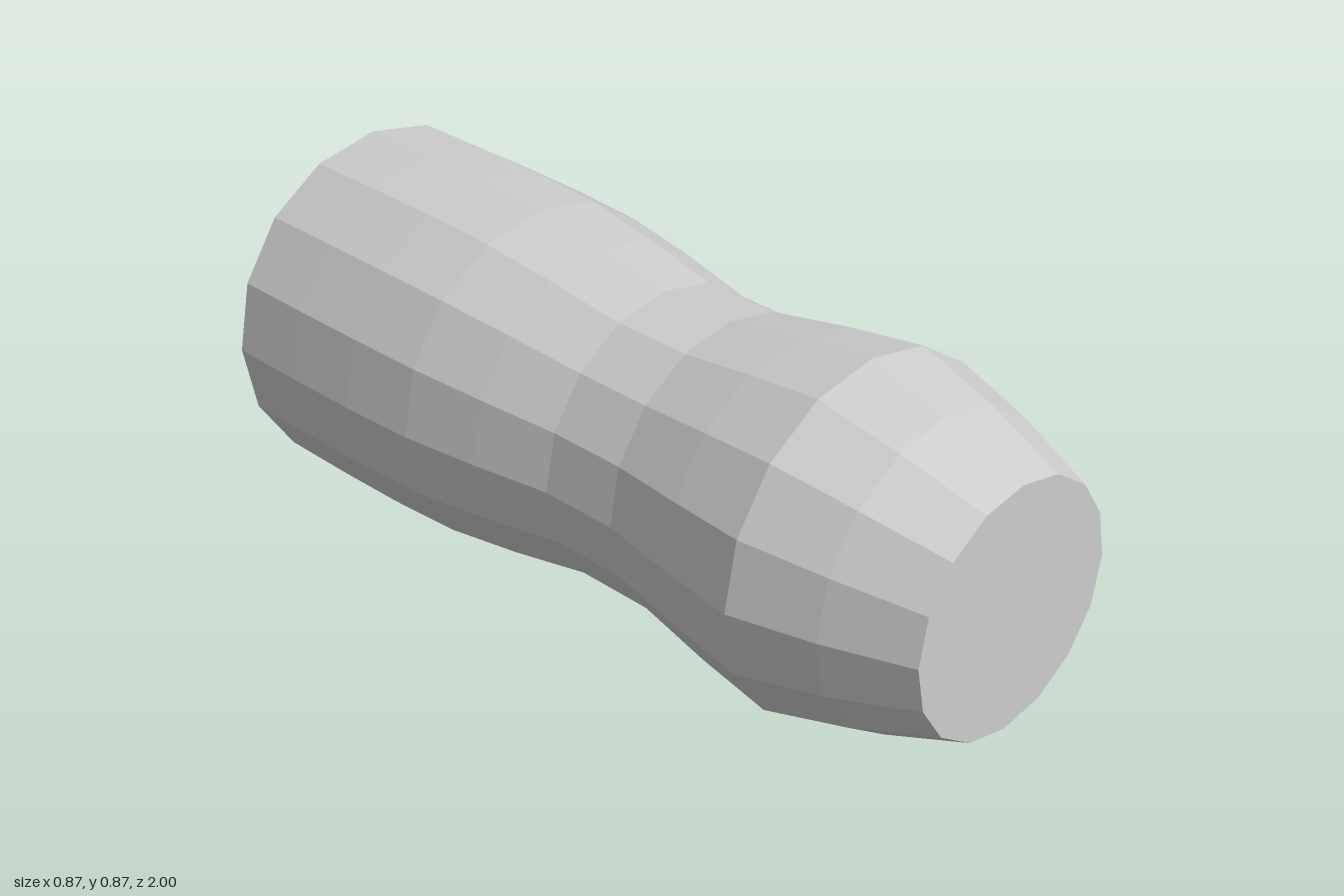
import * as THREE from 'three';

export function createModel() {
  const group = new THREE.Group();
  group.name = 'waistedHandle';

  const grey = new THREE.MeshStandardMaterial({ color: 0xcccccc, flatShading: true });
  grey.name = 'light grey';

  // Radius and position along the axis, from the wide back to the narrow front
  const rings = [
    [0.435, -1], [0.436, -0.8], [0.434, -0.6], [0.425, -0.4], [0.397, -0.2],
    [0.361, 0], [0.361, 0.2], [0.397, 0.4], [0.425, 0.6], [0.37, 0.8], [0.295, 1],
  ];

  // Closed sixteen-sided body with flat end caps
  const profile = [[0, -1], ...rings, [0, 1]].map(([r, y]) => new THREE.Vector2(r, y));
  const geometry = new THREE.LatheGeometry(profile, 16);
  geometry.rotateX(Math.PI / 2);

  const body = new THREE.Mesh(geometry, grey);
  body.name = 'body';
  body.position.y = 0.436;
  group.add(body);

  return group;
}
